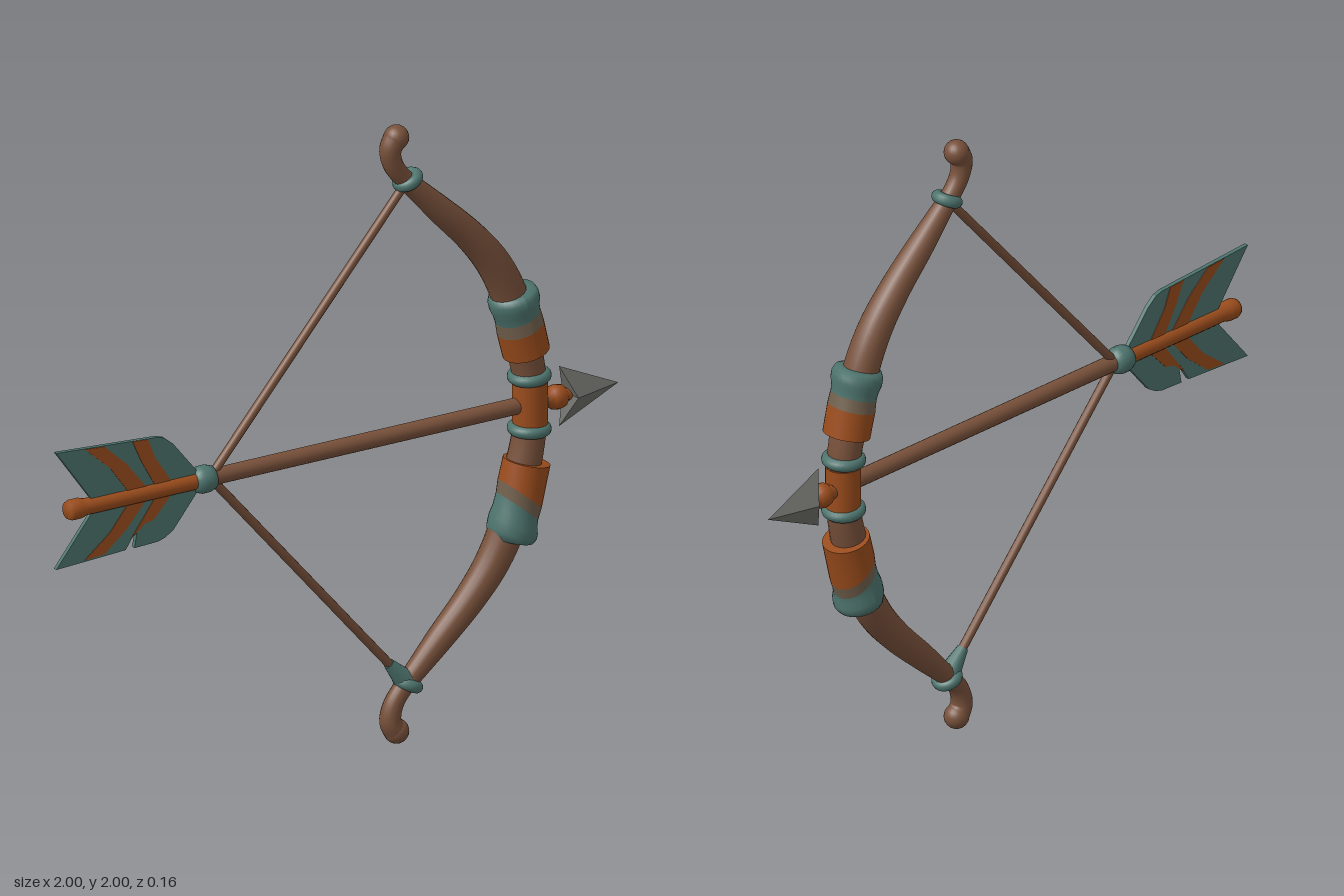
import * as THREE from 'three';

const mat = (name, color) => {
  const m = new THREE.MeshStandardMaterial({ color });
  m.name = name;
  return m;
};

export function createModel() {
  const wood = mat('brown wood', 0x77503a);
  const orange = mat('burnt orange', 0x9a4c1c);
  const teal = mat('dull teal', 0x4d736d);
  const blend = mat('faded wrap', 0x705f4c);
  const steel = mat('grey steel', 0x6e6e69);

  const bow = new THREE.Group();
  bow.name = 'bowAndArrow';
  const add = (parent, name, geo, material) => {
    const m = new THREE.Mesh(geo, material);
    m.name = name;
    parent.add(m);
    return m;
  };
  const lathe = (pts, seg = 24) =>
    new THREE.LatheGeometry(pts.map(([r, y]) => new THREE.Vector2(r, y)), seg);

  // Round limb of varying thickness along a flat curve; points are [x, y, radius]
  function limbGeometry(pts, steps = 56, sides = 18) {
    const curve = new THREE.CatmullRomCurve3(pts.map(p => new THREE.Vector3(...p)));
    const pos = [], idx = [];
    for (let i = 0; i <= steps; i++) {
      const p = curve.getPoint(i / steps), t = curve.getTangent(i / steps);
      const len = Math.hypot(t.x, t.y);
      for (let j = 0; j < sides; j++) {
        const a = (j / sides) * Math.PI * 2, c = Math.cos(a) * p.z;
        pos.push(p.x - (t.y / len) * c, p.y + (t.x / len) * c, Math.sin(a) * p.z);
        if (i < steps) {
          const k = (j + 1) % sides, r = i * sides, s = r + sides;
          idx.push(r + j, r + k, s + j, r + k, s + k, s + j);
        }
      }
    }
    const g = new THREE.BufferGeometry();
    g.setAttribute('position', new THREE.Float32BufferAttribute(pos, 3));
    g.setIndex(idx);
    g.computeVertexNormals();
    return g;
  }

  // Straight rod between two points in the bow's plane
  function rod(parent, name, [x0, y0], [x1, y1], r0, r1, material) {
    const m = add(parent, name,
      new THREE.CylinderGeometry(r1, r0, Math.hypot(x1 - x0, y1 - y0), 12), material);
    m.position.set((x0 + x1) / 2, (y0 + y1) / 2, 0);
    m.rotation.z = Math.atan2(x0 - x1, y1 - y0);
  }

  // Binding ring around the limb
  function ring(parent, name, x, y, radius, tube, tilt) {
    const g = new THREE.TorusGeometry(radius, tube, 12, 28).rotateX(Math.PI / 2);
    const m = add(parent, name, g, teal);
    m.position.set(x, y, 0);
    m.rotation.z = tilt;
  }

  // Cloth wrap: orange, faded and teal bands whose borders may run diagonally
  function wrap(parent, x, y, h, slant) {
    const g = new THREE.Group();
    g.name = 'clothWrap';
    g.position.set(x, y, 0);
    g.rotation.z = 0.24;
    parent.add(g);
    const bands = [
      ['orangeBand', orange, [[0.045, -h], [0.073, -h], [0.073, -h], [0.074, -0.02]]],
      ['fadedBand', blend, [[0.074, -0.02], [0.071, 0.02]]],
      ['tealBand', teal, [[0.071, 0.02], [0.073, h * 0.4], [0.079, h * 0.6], [0.079, h * 0.8],
        [0.072, h * 0.96], [0.045, h]]],
    ];
    for (const [name, material, pts] of bands) {
      const geo = lathe(pts, 28), p = geo.attributes.position;
      for (let i = 0; i < p.count; i++) {
        const py = p.getY(i);
        p.setY(i, py + slant * p.getX(i) * (1 - Math.abs(py) / h));
      }
      geo.computeVertexNormals();
      add(g, name, geo, material);
    }
  }

  // Two bow halves, the lower one turned over
  const limbPath = [
    [0.688, 1.0, 0.05], [0.682, 1.1, 0.052], [0.65, 1.24, 0.056], [0.607, 1.38, 0.056],
    [0.55, 1.49, 0.053], [0.47, 1.59, 0.048], [0.365, 1.695, 0.042], [0.285, 1.775, 0.034],
    [0.235, 1.825, 0.03], [0.2, 1.875, 0.031], [0.191, 1.925, 0.034], [0.208, 1.958, 0.037],
  ];
  for (const lower of [false, true]) {
    const half = new THREE.Group();
    half.name = lower ? 'lowerHalf' : 'upperHalf';
    if (lower) {
      half.rotation.x = Math.PI;
      half.position.y = 2;
    }
    bow.add(half);
    add(half, 'limb', limbGeometry(limbPath), wood);
    add(half, 'limbTip', new THREE.SphereGeometry(0.039, 20, 14), wood).position.set(0.212, 1.96, 0);
    ring(half, 'gripRing', 0.684, lower ? 1.08 : 1.09, 0.049, 0.019, 0.05);
    ring(half, 'stringRing', 0.252, 1.815, 0.03, 0.019, 0.45);
    rod(half, 'bowString', [-0.45, 1.0], [0.24, 1.8], 0.014, 0.014, wood);
    if (lower) {
      wrap(half, 0.645, 1.305, 0.125, 0.6);
      rod(half, 'stringSleeve', [0.185, 1.737], [0.24, 1.8], 0.017, 0.034, teal);
    } else wrap(half, 0.647, 1.275, 0.107, 0.1);
  }
  add(bow, 'gripBand', new THREE.CylinderGeometry(0.054, 0.054, 0.14, 24), orange)
    .position.set(0.687, 1.0, 0);

  // Arrow, turned along x
  const arrow = new THREE.Group();
  arrow.name = 'arrow';
  arrow.position.y = 1;
  bow.add(arrow);
  const turned = (name, pts, material) => {
    add(arrow, name, lathe(pts, 20), material).rotation.z = -Math.PI / 2;
  };
  turned('shaft', [[0.026, -0.5], [0.026, 0.74]], wood);
  turned('shaftTail', [[0, -0.96], [0.026, -0.958], [0.032, -0.945], [0.032, -0.915],
    [0.026, -0.895], [0.026, -0.5]], orange);
  turned('nockCollar', [[0.022, -0.508], [0.036, -0.504], [0.043, -0.485], [0.043, -0.462],
    [0.036, -0.442], [0.022, -0.438]], teal);
  turned('headSocket', [[0.026, 0.7], [0.024, 0.745], [0.036, 0.76], [0.039, 0.78],
    [0.034, 0.802], [0.02, 0.815], [0.018, 0.85]], orange);

  // Faceted arrowhead: four corners, a point and a notched back
  const corners = [[0.79, 0.097, 0], [0.83, 0, 0.046], [0.79, -0.097, 0], [0.83, 0, -0.046]];
  const headPos = [];
  corners.forEach((a, i) => {
    const b = corners[(i + 1) % 4];
    headPos.push(...a, ...b, 1, 0, 0, ...b, ...a, 0.825, 0, 0);
  });
  const head = new THREE.BufferGeometry();
  head.setAttribute('position', new THREE.Float32BufferAttribute(headPos, 3));
  head.computeVertexNormals();
  add(arrow, 'arrowhead', head, steel);

  // Feather vanes with orange stripes on both faces
  const plate = (name, pts, depth, material) => {
    const shape = new THREE.Shape(pts.map(([x, y]) => new THREE.Vector2(x, y)));
    const g = new THREE.ExtrudeGeometry(shape, { depth, bevelEnabled: false });
    add(arrow, name, g.translate(0, 0, -depth / 2), material);
  };
  const front = [[-0.585, 0.14], [-0.5, 0.035], [-0.49, 0], [-0.86, 0], [-0.88, 0.03]];
  const stripe = [[-0.9, 0.189], [-0.83, 0.183], [-0.75, 0.11], [-0.68, 0.02], [-0.745, 0.02], [-0.81, 0.11]];
  const flip = (pts, s = 1) => pts.map(([x, y]) => [x, -y * s]);
  plate('upperVane', [[-1, 0.197], [-0.64, 0.173], [-0.615, 0.165], ...front], 0.014, teal);
  plate('lowerVane', [[-1, -0.18], [-0.753, -0.168], [-0.71, -0.1], [-0.722, -0.168],
    [-0.64, -0.165], [-0.615, -0.158], ...flip(front)], 0.014, teal);
  plate('upperRearStripe', stripe, 0.018, orange);
  plate('lowerRearStripe', flip(stripe, 0.9), 0.018, orange);
  plate('upperFrontStripe', [[-0.73, 0.178], [-0.675, 0.174], [-0.65, 0.11], [-0.59, 0.02],
    [-0.65, 0.02], [-0.7, 0.11]], 0.018, orange);
  plate('lowerFrontStripe', [[-0.65, -0.02], [-0.59, -0.02], [-0.655, -0.09], [-0.71, -0.1],
    [-0.735, -0.135]], 0.018, orange);

  return bow;
}
